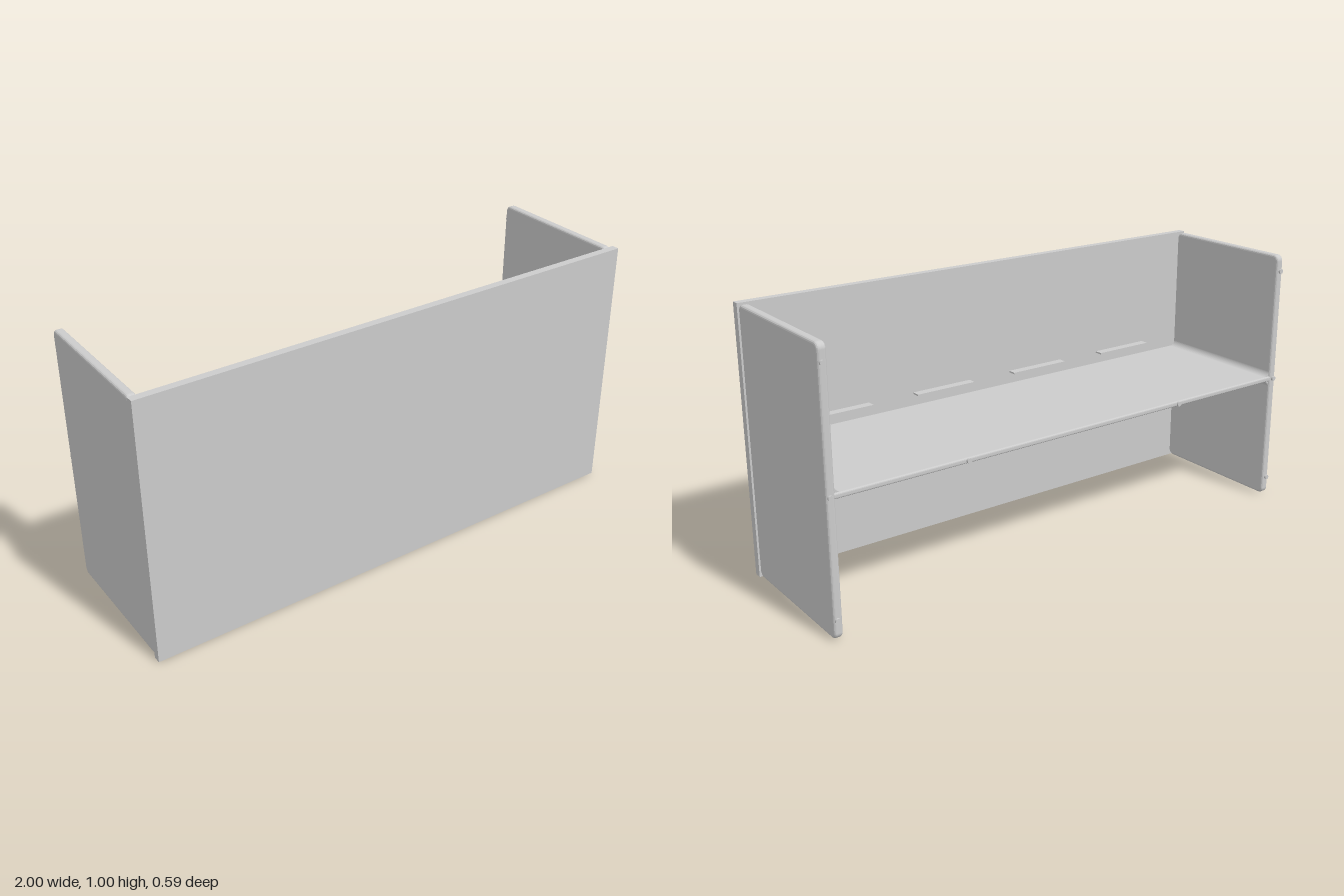
import * as THREE from 'three';

const grey = new THREE.MeshStandardMaterial({ color: 0xcccccc });

function add(parent, name, geometry, x = 0, y = 0, z = 0) {
  const mesh = new THREE.Mesh(geometry, grey);
  mesh.name = name;
  mesh.position.set(x, y, z);
  parent.add(mesh);
  return mesh;
}

// Rounded rectangle slab with softened edges, centred, thickness along z
function slab(w, h, t, r, bevel) {
  const a = w / 2 - bevel, b = h / 2 - bevel, c = r;
  const s = new THREE.Shape();
  s.moveTo(-a + c, -b);
  s.lineTo(a - c, -b).absarc(a - c, -b + c, c, -Math.PI / 2, 0);
  s.lineTo(a, b - c).absarc(a - c, b - c, c, 0, Math.PI / 2);
  s.lineTo(-a + c, b).absarc(-a + c, b - c, c, Math.PI / 2, Math.PI);
  s.lineTo(-a, -b + c).absarc(-a + c, -b + c, c, Math.PI, Math.PI * 1.5);
  const depth = t - 2 * bevel;
  return new THREE.ExtrudeGeometry(s, {
    depth, bevelThickness: bevel, bevelSize: bevel, bevelSegments: 3, curveSegments: 6,
  }).translate(0, 0, -depth / 2);
}

// Concave corner strip running along z
function fillet(r, length) {
  const s = new THREE.Shape();
  s.moveTo(0, 0);
  s.lineTo(r, 0);
  s.absarc(r, r, r, -Math.PI / 2, -Math.PI, true);
  s.lineTo(0, 0);
  return new THREE.ExtrudeGeometry(s, { depth: length, bevelEnabled: false, curveSegments: 6 })
    .translate(0, 0, -length / 2);
}

export function createModel() {
  const model = new THREE.Group();
  model.name = 'deskUnit';

  const front = 0.268, back = -0.29;
  const depth = front - back, midZ = (front + back) / 2;
  const shelfY = 0.5, shelfT = 0.02;

  // Flat front board
  add(model, 'frontPanel', new THREE.BoxGeometry(2, 1, 0.029), 0, 0.5, 0.2825);

  // Shelf with softened edges
  add(model, 'shelf', slab(1.95, depth, shelfT, 0.005, 0.006), 0, shelfY, midZ).rotation.x = Math.PI / 2;

  const studGeo = new THREE.CylinderGeometry(0.009, 0.009, 0.016, 16).rotateX(Math.PI / 2);
  const tabGeo = new THREE.BoxGeometry(0.25, 0.006, 0.034);
  const filletGeo = fillet(0.025, depth - 0.014);

  for (const side of [-1, 1]) {
    const label = side > 0 ? 'left' : 'right';

    // Upright end panel
    add(model, label + 'Panel', slab(depth, 0.992, 0.032, 0.014, 0.009), side * 0.98, 0.501, midZ)
      .rotation.y = Math.PI / 2;

    // Rounded joints above and below the shelf
    for (const up of [-1, 1]) {
      const joint = add(model, label + 'Joint', filletGeo,
        side * 0.9645, shelfY + up * (shelfT / 2 - 0.0005), midZ);
      joint.rotation.z = side < 0 ? (up > 0 ? 0 : -Math.PI / 2) : (up > 0 ? Math.PI / 2 : Math.PI);
    }

    // Small studs on the back edges
    for (const y of [0.075, 0.5, 0.935]) add(model, label + 'Stud', studGeo, side * 0.983, y, -0.289);
    add(model, 'shelfStud', studGeo, side * 0.472, shelfY, -0.289);
  }

  // Thin ledges on the front board, above and below the shelf
  for (const x of [-0.655, -0.218, 0.218, 0.655]) {
    for (const up of [-1, 1]) add(model, 'ledge', tabGeo, x, shelfY + up * 0.055, 0.252);
  }
  return model;
}
